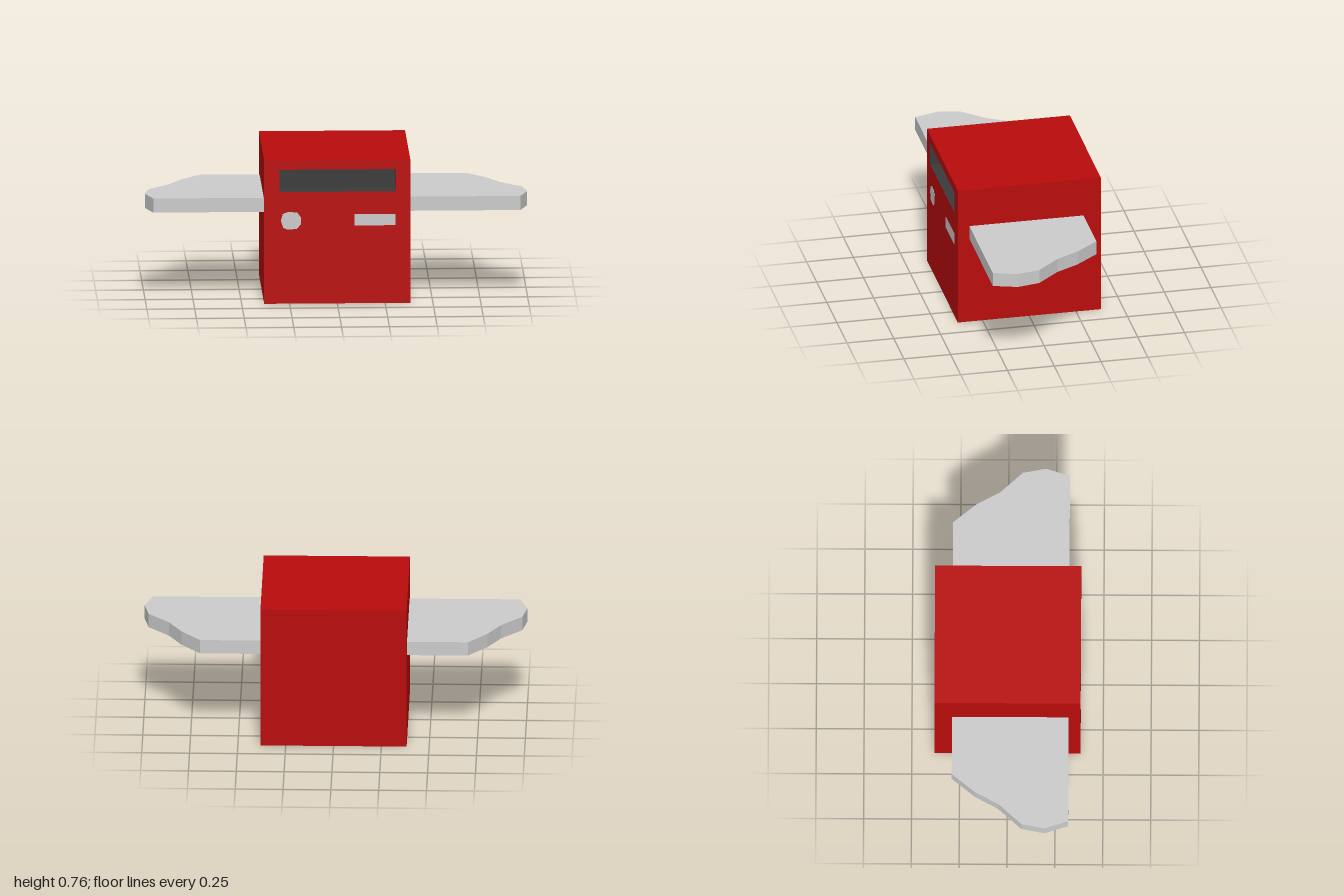
import * as THREE from 'three';

const S = 0.764, H = S / 2; // cube body size
const SLOT = { x0: -0.302, x1: 0.305, y0: 0.595, y1: 0.714, depth: 0.115 };

const material = (color) => new THREE.MeshStandardMaterial({ color, flatShading: true });
const red = material(0xb90c0c), grey = material(0xcccccc), dark = material(0x3a3a3a);

function add(parent, name, geometry, mat) {
  const mesh = new THREE.Mesh(geometry, mat);
  mesh.name = name;
  parent.add(mesh);
  return mesh;
}

const points = (list) => list.map(([x, y]) => new THREE.Vector2(x, y));
const rectangle = (x0, x1, y0, y1) => points([[x0, y0], [x1, y0], [x1, y1], [x0, y1]]);

// Box without its +z face
function openBox(w, h, d) {
  const geometry = new THREE.BoxGeometry(w, h, d);
  const index = Array.from(geometry.index.array);
  index.splice(24, 6);
  geometry.setIndex(index);
  geometry.clearGroups();
  return geometry;
}

// Thin plate lying on the front face
function plate(outline) {
  return new THREE.ExtrudeGeometry(new THREE.Shape(outline), { depth: 0.003, bevelEnabled: false })
    .translate(0, 0, H - 0.001);
}

export function createModel() {
  const model = new THREE.Group();
  model.name = 'wingedBox';

  // Body: five closed sides and a front panel with the slot cut out
  const body = new THREE.Group();
  body.name = 'body';
  model.add(body);
  add(body, 'bodyShell', openBox(S, S, S).translate(0, H, 0), red);
  const front = new THREE.Shape(rectangle(-H, H, 0, S));
  front.holes.push(new THREE.Path(rectangle(SLOT.x0, SLOT.x1, SLOT.y0, SLOT.y1)));
  add(body, 'frontPanel', new THREE.ShapeGeometry(front).translate(0, 0, H), red);

  // Recessed slot: an open box mirrored so that its walls face inward
  const lining = openBox(SLOT.x1 - SLOT.x0, SLOT.y1 - SLOT.y0, SLOT.depth).scale(-1, 1, 1);
  lining.translate((SLOT.x0 + SLOT.x1) / 2, (SLOT.y0 + SLOT.y1) / 2, H - SLOT.depth / 2);
  lining.computeVertexNormals();
  add(body, 'slotRecess', lining, dark);

  // Round button and label plate on the front
  const button = points([[-0.054, 0], [-0.042, -0.037], [-0.018, -0.047], [0.03, -0.043],
    [0.051, -0.018], [0.051, 0.018], [0.032, 0.043], [-0.012, 0.048], [-0.044, 0.037]]);
  add(model, 'button', plate(button).translate(-0.241, 0.442, 0), grey);
  add(model, 'labelPlate', plate(rectangle(0.09, 0.305, 0.415, 0.475)), grey);

  // Wings: one outline (x, z) extruded upward and mirrored
  const outline = [[0.38, 0.32], [0.96, 0.32], [1, 0.195], [0.977, 0.075],
    [0.867, -0.045], [0.8, -0.168], [0.7, -0.29], [0.38, -0.29]];
  for (const [name, side] of [['leftWing', 1], ['rightWing', -1]]) {
    const shape = new THREE.Shape(points(outline.map(([x, z]) => [side * x, -z])));
    const wing = new THREE.ExtrudeGeometry(shape, { depth: 0.075, bevelEnabled: false });
    add(model, name, wing.rotateX(-Math.PI / 2).translate(0, 0.478, 0), grey);
  }
  return model;
}
